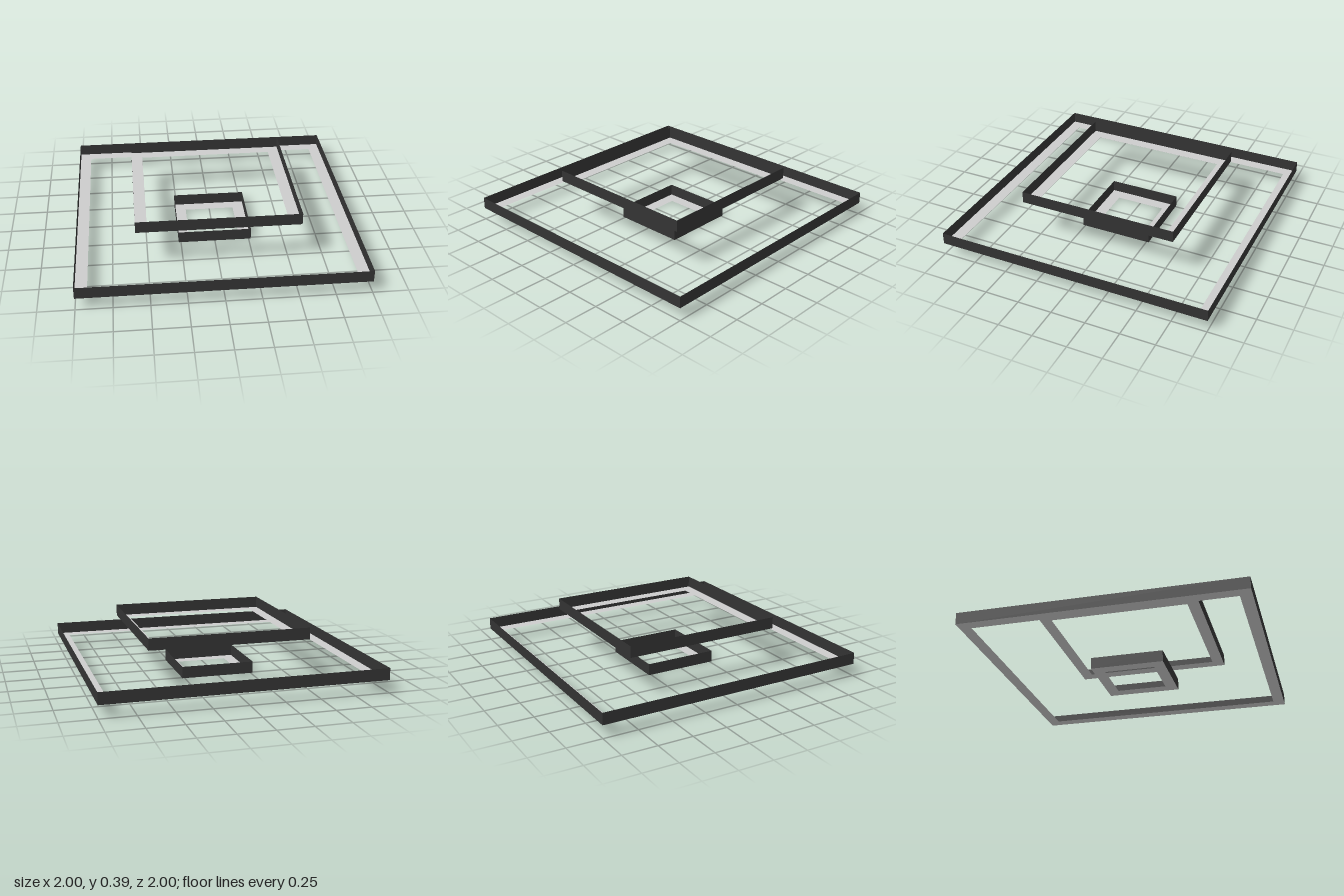
import * as THREE from 'three';

const dark = new THREE.MeshStandardMaterial({ color: 0x333333, side: THREE.DoubleSide });
dark.name = 'dark metal';
const light = new THREE.MeshStandardMaterial({ color: 0xcccccc, side: THREE.DoubleSide });
light.name = 'light diffuser';

const HEIGHT = 0.085;
const WIDTH = 0.083;

// Closed square outline of a given half size
function square(half, Type) {
  return new Type([[-1, -1], [1, -1], [1, 1], [-1, 1]].map(([x, y]) => new THREE.Vector2(x * half, y * half)));
}

// Square ring: thin upright outer walls and a flat flange along their lower edge
function createRing(name, half, y) {
  const ring = new THREE.Group();
  ring.name = name;
  ring.position.y = y;

  const shape = square(half, THREE.Shape);
  shape.holes.push(square(half - WIDTH, THREE.Path));
  const flange = new THREE.Mesh(new THREE.ShapeGeometry(shape).rotateX(-Math.PI / 2), light);
  flange.name = name + 'Diffuser';
  ring.add(flange);

  for (let i = 0; i < 4; i++) {
    const geometry = new THREE.PlaneGeometry(half * 2, HEIGHT);
    geometry.translate(0, HEIGHT / 2, half).rotateY(i * Math.PI / 2);
    const wall = new THREE.Mesh(geometry, dark);
    wall.name = name + 'Wall';
    ring.add(wall);
  }
  return ring;
}

export function createModel() {
  const model = new THREE.Group();
  model.name = 'squareRingLamp';
  model.add(
    createRing('largeRing', 1, 0.091),
    createRing('middleRing', 0.581, 0.306),
    createRing('smallRing', 0.266, 0),
  );
  return model;
}
